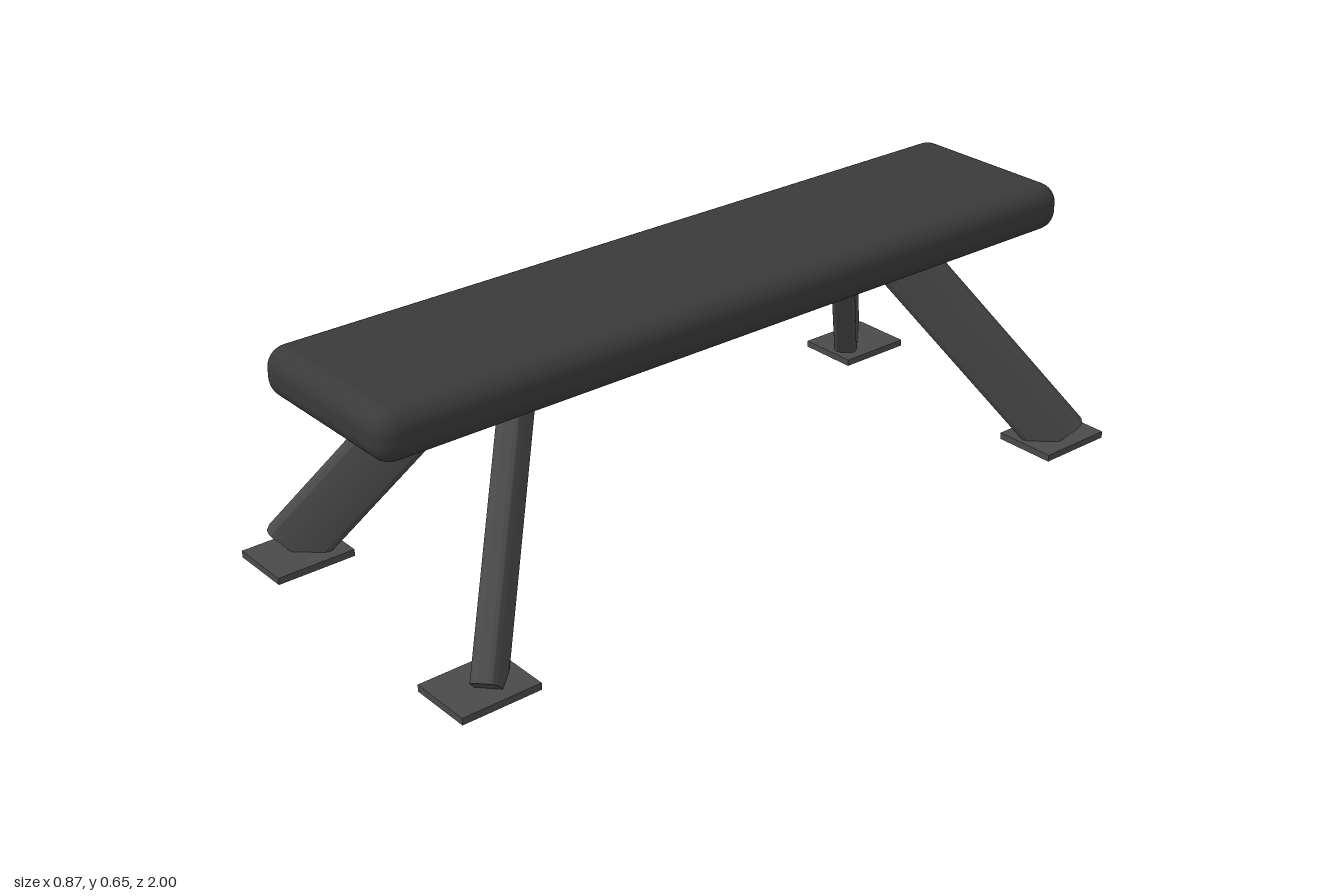
import * as THREE from 'three';
import { RoundedBoxGeometry } from 'three/addons/geometries/RoundedBoxGeometry.js';
import { toCreasedNormals } from 'three/addons/utils/BufferGeometryUtils.js';

// Rectangle with rounded corners, centred on the origin
function roundedRect(w, h, r) {
  const s = new THREE.Shape();
  const x = w / 2, y = h / 2;
  s.absarc(x - r, y - r, r, 0, Math.PI / 2);
  s.absarc(-x + r, y - r, r, Math.PI / 2, Math.PI);
  s.absarc(-x + r, -y + r, r, Math.PI, Math.PI * 1.5);
  s.absarc(x - r, -y + r, r, Math.PI * 1.5, Math.PI * 2);
  s.closePath();
  return s;
}

export function createModel() {
  const bench = new THREE.Group();
  bench.name = 'bench';
  const padMaterial = new THREE.MeshStandardMaterial({ color: 0x3a3a3a });
  const frameMaterial = new THREE.MeshStandardMaterial({ color: 0x4a4a4a });

  const add = (name, geometry, material, x, y, z) => {
    const mesh = new THREE.Mesh(geometry, material);
    mesh.name = name;
    mesh.position.set(x, y, z);
    bench.add(mesh);
    return mesh;
  };

  // Upholstered pad and the beam beneath it
  add('pad', new RoundedBoxGeometry(0.47, 0.12, 2, 6, 0.05), padMaterial, 0, 0.59, 0);
  add('beam', new RoundedBoxGeometry(0.2, 0.1, 1.24, 4, 0.016), frameMaterial, 0, 0.52, 0);

  // Flat bar legs, splayed outward to the four corners, each through a foot plate
  const top = new THREE.Vector3(0.1, 0.53, 0.572);
  const bottom = new THREE.Vector3(0.383, 0.05, 0.874);
  const legGeometry = toCreasedNormals(
    new THREE.ExtrudeGeometry(roundedRect(0.06, 0.145, 0.02), {
      depth: top.distanceTo(bottom), bevelEnabled: false, curveSegments: 6,
    }), 0.6);
  const plateGeometry = new THREE.BoxGeometry(0.16, 0.017, 0.2);

  for (const sx of [1, -1]) {
    for (const sz of [1, -1]) {
      const label = (sz > 0 ? 'front' : 'back') + (sx > 0 ? 'Left' : 'Right');
      const corner = new THREE.Vector3(sx, 1, sz);
      const start = top.clone().multiply(corner);
      const along = bottom.clone().multiply(corner).sub(start).normalize();
      const across = new THREE.Vector3(0, 1, 0).cross(along).normalize();
      const wide = along.clone().cross(across);
      const leg = add(label + 'Leg', legGeometry, frameMaterial, start.x, start.y, start.z);
      leg.quaternion.setFromRotationMatrix(new THREE.Matrix4().makeBasis(across, wide, along));
      add(label + 'FootPlate', plateGeometry, frameMaterial, sx * 0.357, 0.0415, sz * 0.878);
    }
  }
  return bench;
}
